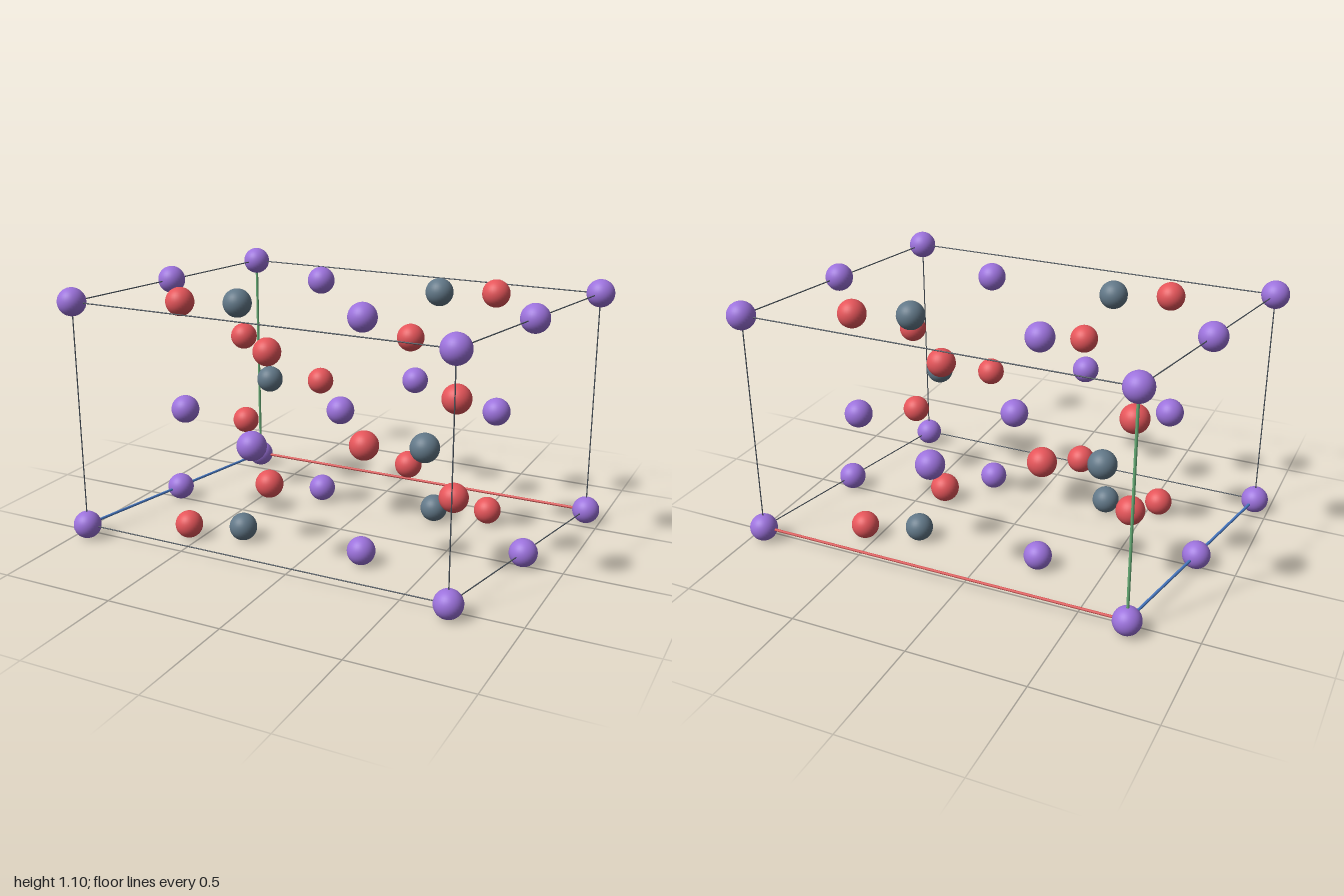
import * as THREE from 'three';

const mat = (name, color) => {
  const m = new THREE.MeshStandardMaterial({ color });
  m.name = name;
  return m;
};

export function createModel() {
  const model = new THREE.Group();
  model.name = 'crystalCell';

  const purple = mat('purple', 0x9c72dc);
  const red = mat('red', 0xe5555a);
  const slate = mat('slate', 0x627888);
  const edgeGrey = mat('edgeGrey', 0x4c555e);
  const axisRed = mat('axisRed', 0xdc5656);
  const axisGreen = mat('axisGreen', 0x68b078);
  const axisBlue = mat('axisBlue', 0x4a7cc8);

  const low = 0.06, mid = 0.55, high = 1.038;
  const ball = new THREE.SphereGeometry(0.059, 32, 20);

  // Atoms: [x, z, heights]; each one is repeated by a half turn about the y axis
  function atoms(name, material, sites) {
    const group = new THREE.Group();
    group.name = name + 's';
    for (const [x, z, heights] of sites) {
      for (const s of x === 0 && z === 0 ? [1] : [1, -1]) {
        for (const y of heights) {
          const atom = new THREE.Mesh(ball, material);
          atom.name = name;
          atom.position.set(s * x, y, s * z);
          group.add(atom);
        }
      }
    }
    model.add(group);
  }
  const ends = [low, high];
  atoms('purpleAtom', purple, [
    [0.94, -0.554, ends], [0.72, 0.554, ends], [0.83, 0, ends], [0.23, 0.275, ends],
    [0.11, -0.554, [mid]], [0.6, -0.275, [mid]], [0, 0, [mid]],
  ]);
  atoms('slateAtom', slate, [[0.327, -0.277, ends], [0.5, 0.277, [mid]]]);
  atoms('redAtom', red, [
    [0.55, -0.356, ends], [0.278, 0.356, [mid]],
    [0.217, -0.237, [mid - 0.288, mid + 0.288]],
    [0.61, 0.237, [mid - 0.202, mid + 0.202]],
  ]);

  // Cell edges
  const up = new THREE.Vector3(0, 1, 0);
  function rod(name, a, b, radius, material) {
    const dir = b.clone().sub(a);
    const mesh = new THREE.Mesh(new THREE.CylinderGeometry(radius, radius, dir.length(), 10), material);
    mesh.name = name;
    mesh.position.copy(a).add(b).multiplyScalar(0.5);
    mesh.quaternion.setFromUnitVectors(up, dir.normalize());
    model.add(mesh);
  }
  // Corner from its 0/1 steps along the three cell directions
  const corner = (i, j, k) =>
    new THREE.Vector3(-0.72 + 1.66 * i - 0.22 * k, low + (high - low) * j, -0.554 + 1.108 * k);
  const axes = [['axisX', axisRed], ['axisY', axisGreen], ['axisZ', axisBlue]];
  axes.forEach(([name, material], d) => {
    for (const p of [0, 1]) for (const q of [0, 1]) {
      const start = [p, q];
      start.splice(d, 0, 0);
      const end = [...start];
      end[d] = 1;
      const isAxis = p + q === 0;
      rod(isAxis ? name : 'cellEdge', corner(...start), corner(...end),
        isAxis ? 0.006 : 0.0025, isAxis ? material : edgeGrey);
    }
  });

  return model;
}
